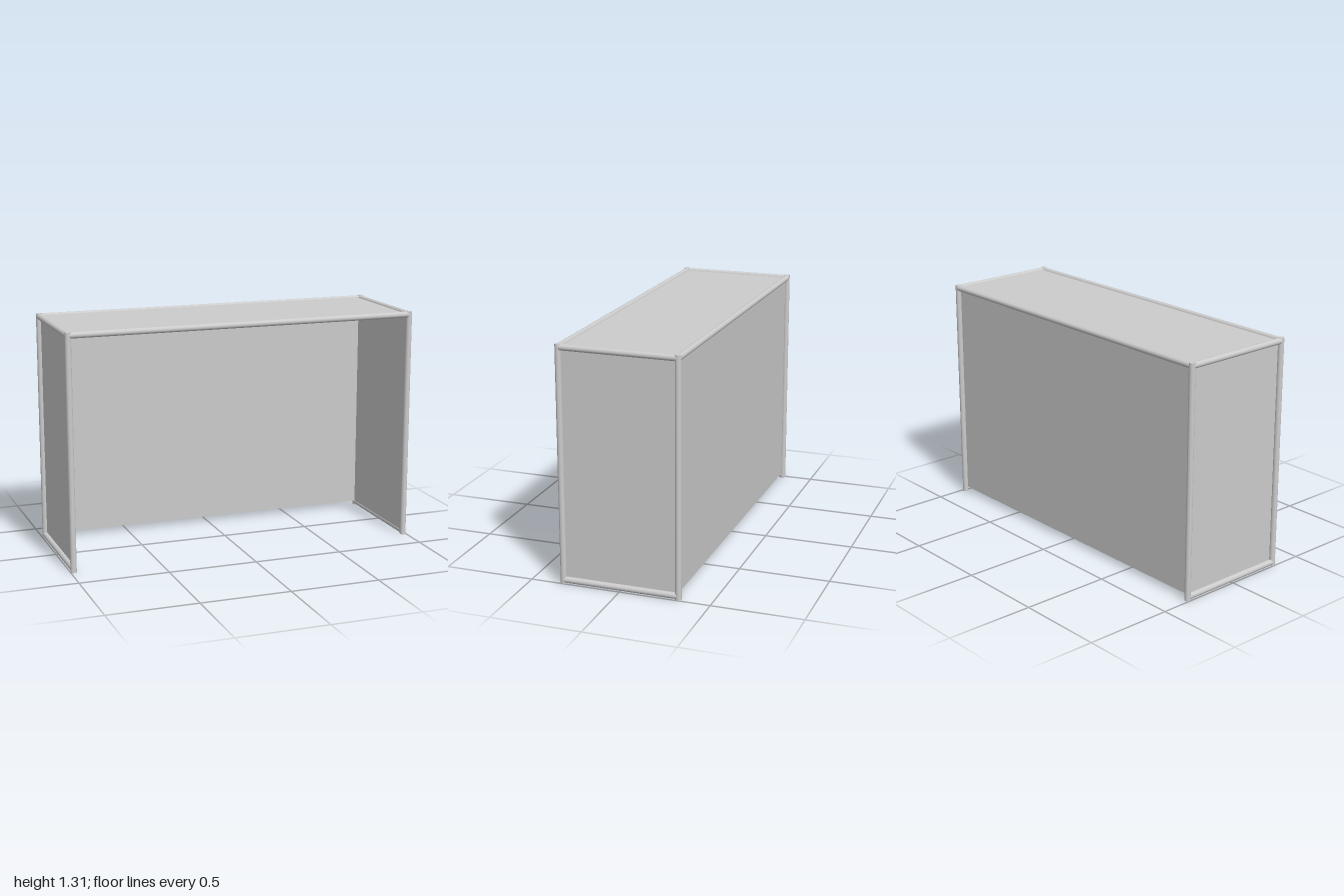
import * as THREE from 'three';

const R = 0.017;            // tube radius
const X = 1 - R, Z = 0.322; // post centres
const H = 1.306;            // overall height
const T = 0.008;            // panel thickness

export function createModel() {
  const group = new THREE.Group();
  const material = new THREE.MeshStandardMaterial({ color: 0xcccccc });

  const add = (name, geometry, x, y, z) => {
    const mesh = new THREE.Mesh(geometry, material);
    mesh.name = name;
    mesh.position.set(x, y, z);
    group.add(mesh);
    return mesh;
  };
  const tube = (length) => new THREE.CylinderGeometry(R, R, length, 24);
  const panel = (name, w, h, d, x, y, z) => add(name, new THREE.BoxGeometry(w, h, d), x, y, z);

  for (const sx of [-1, 1]) {
    const side = sx > 0 ? 'left' : 'right';
    // Corner posts
    for (const sz of [-1, 1]) {
      add(`${side}${sz > 0 ? 'Front' : 'Back'}Post`, tube(H), sx * X, H / 2, sz * Z);
    }
    // Side rails, top and bottom
    add(`${side}TopRail`, tube(2 * Z), sx * X, H - R, 0).rotation.x = Math.PI / 2;
    add(`${side}BottomRail`, tube(2 * Z), sx * X, R + 0.002, 0).rotation.x = Math.PI / 2;
    // Side panel, set towards the inside of the tubes
    panel(`${side}Panel`, T, H - 2 * R, 2 * Z, sx * (X - 0.01), H / 2, 0);
  }

  // Long top rails
  for (const sz of [-1, 1]) {
    add(sz > 0 ? 'frontTopRail' : 'backTopRail', tube(2 * X), 0, H - R, sz * Z).rotation.z = Math.PI / 2;
  }

  // Back and top panels; the front stays open
  const bottom = 0.027;
  panel('backPanel', 2 * X, H - R - bottom, T, 0, (H - R + bottom) / 2, -Z + 0.01);
  panel('topPanel', 2 * X, T, 2 * Z, 0, H - R, 0);

  return group;
}
